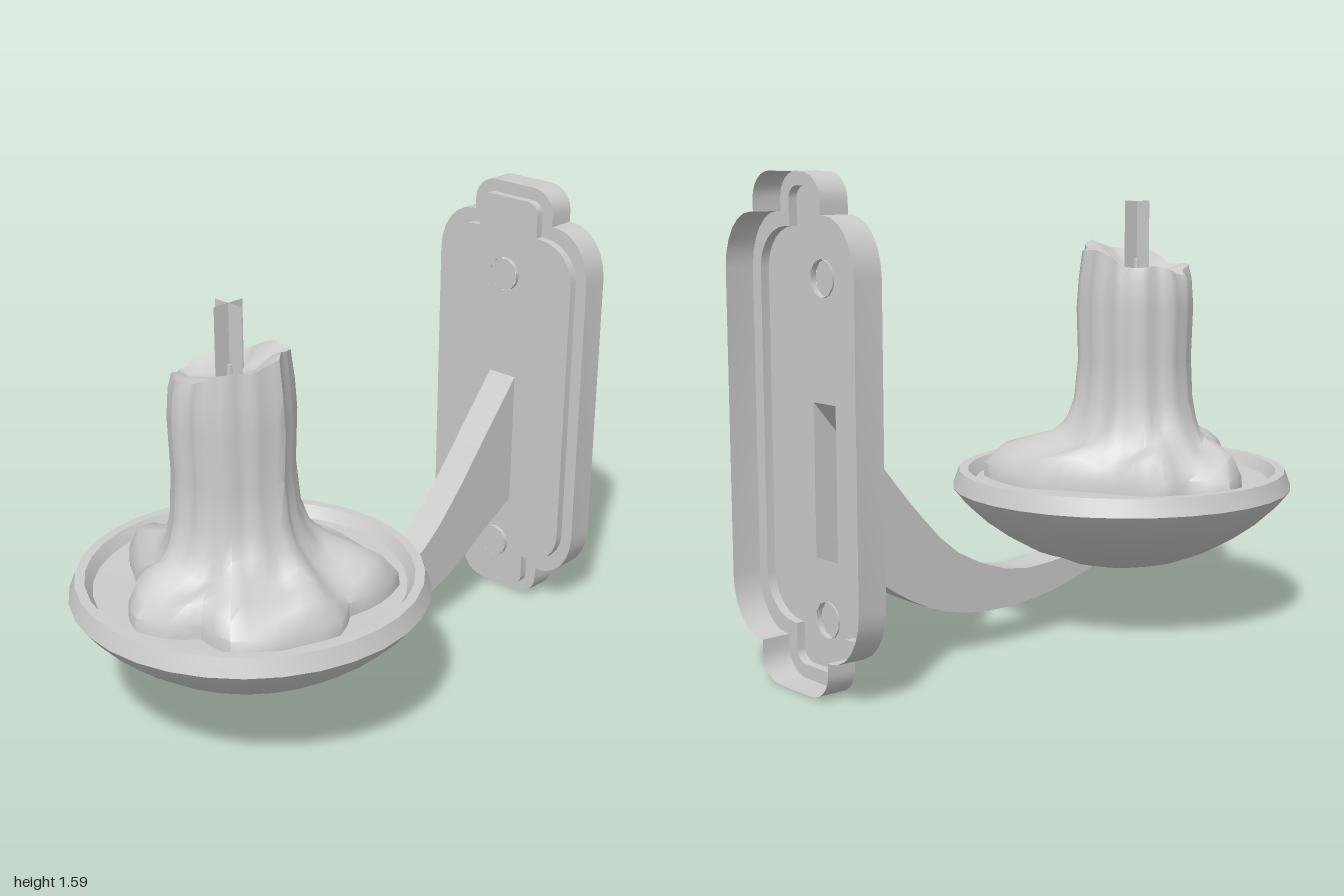
import * as THREE from 'three';
import { toCreasedNormals } from 'three/addons/utils/BufferGeometryUtils.js';

const grey = new THREE.MeshStandardMaterial({ color: 0xcccccc, side: THREE.DoubleSide });

function part(parent, name, geometry, crease) {
  const mesh = new THREE.Mesh(crease ? toCreasedNormals(geometry, crease) : geometry, grey);
  mesh.name = name;
  parent.add(mesh);
  return mesh;
}

// Skin a row of closed rings that all have the same number of points
function loft(rings) {
  const n = rings[0].length;
  const index = [];
  for (let j = 0; j < rings.length - 1; j++) {
    for (let i = 0; i < n; i++) {
      const k = (i + 1) % n;
      const a = j * n + i, b = j * n + k, c = b + n, d = a + n;
      index.push(a, b, c, a, c, d);
    }
  }
  const g = new THREE.BufferGeometry().setFromPoints(rings.flat());
  g.setIndex(index);
  g.computeVertexNormals();
  return g;
}

// Lobed wall plate outline, inset by d
const PX = 0.01, PY = 0.795;
function plateOutline(d) {
  const quarter = [];
  const arc = (cx, cy, rx, ry) => {
    for (let i = 0; i <= 6; i++) {
      const a = (i / 6) * Math.PI / 2;
      quarter.push([cx + rx * Math.cos(a), cy + ry * Math.sin(a)]);
    }
  };
  arc(0.19 - d, 0.49, 0.145, 0.18 - d);
  arc(0.085, 0.71, 0.09 - d, 0.085 - d);
  quarter.splice(7, 0, [0.175 - d, 0.67 - d]);
  const flip = (sx, sy) => quarter.map(([x, y]) => new THREE.Vector2(PX + sx * x, PY + sy * y));
  return [...flip(1, 1), ...flip(-1, 1).reverse(), ...flip(-1, -1), ...flip(1, -1).reverse()];
}

function makePlate() {
  const plate = new THREE.Group();
  plate.name = 'wallPlate';
  const outer = plateOutline(0), inner = plateOutline(0.045);
  const at = (pts, z) => pts.map(p => new THREE.Vector3(p.x, p.y, z));
  part(plate, 'plateRim', loft([at(outer, -1), at(outer, -0.9)]), 0.6);
  part(plate, 'panelEdge', loft([at(inner, -0.9), at(inner, -0.87)]), 0.6);

  const step = new THREE.Shape(outer);
  step.holes.push(new THREE.Path(inner));
  part(plate, 'plateStep', new THREE.ShapeGeometry(step)).position.z = -0.9;

  // Panel with a slot behind the arm and two screw holes
  const panel = new THREE.Shape(inner);
  panel.holes.push(new THREE.Path([[-0.045, 0.39], [-0.045, 0.88], [0.07, 0.88], [0.07, 0.39]]
    .map(([x, y]) => new THREE.Vector2(x, y))));
  for (const y of [0.2, 1.265]) {
    const hole = new THREE.Path();
    hole.absarc(PX, y, 0.06, 0, Math.PI * 2, true);
    panel.holes.push(hole);
    const side = new THREE.CylinderGeometry(0.06, 0.06, 0.02, 10, 1, true).rotateX(Math.PI / 2);
    part(plate, 'screwSide', side, 0.7).position.set(PX, y, -0.865);
    part(plate, 'screwFace', new THREE.CircleGeometry(0.06, 10)).position.set(PX, y, -0.855);
  }
  part(plate, 'platePanel', new THREE.ShapeGeometry(panel, 5)).position.z = -0.87;
  return plate;
}

// Curved arm: a rectangular section that deepens towards the wall
function armGeometry() {
  const curve = pts => new THREE.CatmullRomCurve3(pts.map(([z, y]) => new THREE.Vector3(0, y, z))).getPoints(14);
  const top = curve([[0.22, 0.28], [0.08, 0.26], [-0.15, 0.255], [-0.39, 0.35], [-0.55, 0.5], [-0.71, 0.69], [-0.87, 0.88]]);
  const low = curve([[0.22, 0.205], [0.0, 0.147], [-0.23, 0.13], [-0.44, 0.16], [-0.6, 0.23], [-0.74, 0.32], [-0.87, 0.39]]);
  return loft(top.map((t, i) => {
    const b = low[i];
    return [[0.07, b], [-0.045, b], [-0.045, t], [0.07, t]].map(([x, p]) => new THREE.Vector3(x, p.y, p.z));
  }));
}

// Melted candle: column rings that blend into an irregular puddle of wax
function candleGeometry() {
  const cx = -0.01, cz = 0.455, n = 48;
  const puddle = [0.48, 0.43, 0.49, 0.54, 0.49, 0.45, 0.37, 0.33, 0.33, 0.35, 0.39, 0.37,
    0.46, 0.43, 0.36, 0.32, 0.31, 0.39, 0.43, 0.41, 0.37, 0.46, 0.46, 0.46];
  const edge = i => (puddle[i >> 1] + puddle[((i + 1) >> 1) % 24]) / 2;
  const ripple = i => 0.008 * Math.sin(i * 1.7) + 0.007 * Math.sin(i * 0.785 + 1);
  const rim = i => {
    const a = i / n * Math.PI * 2;
    return 1.275 + 0.045 * Math.cos(a - 0.35) + 0.012 * Math.sin(a * 5);
  };
  // [height, blend towards puddle, ripple strength, column radius]
  const levels = [[0.48, 1, 0, 0.2], [0.535, 0.98, 0, 0.2], [0.585, 0.82, 0.5, 0.2], [0.615, 0.55, 1, 0.2],
    [0.645, 0.3, 1, 0.2], [0.7, 0.14, 1, 0.2], [0.78, 0.05, 1, 0.195], [0.92, 0, 1, 0.194],
    [1.1, 0, 1, 0.2], [1.2, 0, 1, 0.193]];
  const ring = f => Array.from({ length: n }, (_, i) => {
    const a = i / n * Math.PI * 2, [r, y] = f(i);
    return new THREE.Vector3(cx + r * Math.cos(a), y, cz - r * Math.sin(a));
  });
  const rings = levels.map(([y, t, s, c]) => ring(i => {
    const col = c + s * ripple(i);
    const bump = t > 0.2 && t < 0.9 ? 0.02 * Math.sin(i * 0.9 + t * 4) : 0;
    return [col + (edge(i) - col) * t, y + bump];
  }));
  rings.push(ring(i => [0.18 + ripple(i), rim(i)]));
  rings.push(ring(i => [0.145 + ripple(i) * 0.5, rim(i) - 0.015]));
  rings.push(ring(i => [0.08, 1.235 + (rim(i) - 1.275) * 0.4]));
  rings.push(ring(() => [0.001, 1.23]));
  return loft(rings);
}

export function createModel() {
  const model = new THREE.Group();
  model.name = 'candleSconce';
  model.add(makePlate());
  part(model, 'arm', armGeometry(), 0.7);

  // Drip dish with raised rim
  const profile = [[0, 0.182], [0.12, 0.19], [0.245, 0.222], [0.34, 0.262], [0.42, 0.308], [0.5, 0.365],
    [0.56, 0.42], [0.6, 0.47], [0.578, 0.53], [0.545, 0.53], [0.52, 0.49], [0, 0.485]];
  const dish = new THREE.LatheGeometry(profile.map(([x, y]) => new THREE.Vector2(x, y)), 32);
  part(model, 'dish', dish, 0.45).position.z = 0.4;

  part(model, 'candle', candleGeometry(), 0.9);

  // Wick: crossed flat strips around a thin core
  const wick = new THREE.Group();
  wick.name = 'wick';
  wick.position.set(-0.01, 0, 0.46);
  for (const turn of [0, Math.PI / 2]) {
    const strip = part(wick, 'wickStrip', new THREE.PlaneGeometry(0.12, 0.25));
    strip.position.y = 1.345;
    strip.rotation.y = turn;
  }
  part(wick, 'wickCore', new THREE.CylinderGeometry(0.012, 0.012, 0.07, 8)).position.y = 1.235;
  model.add(wick);
  return model;
}
